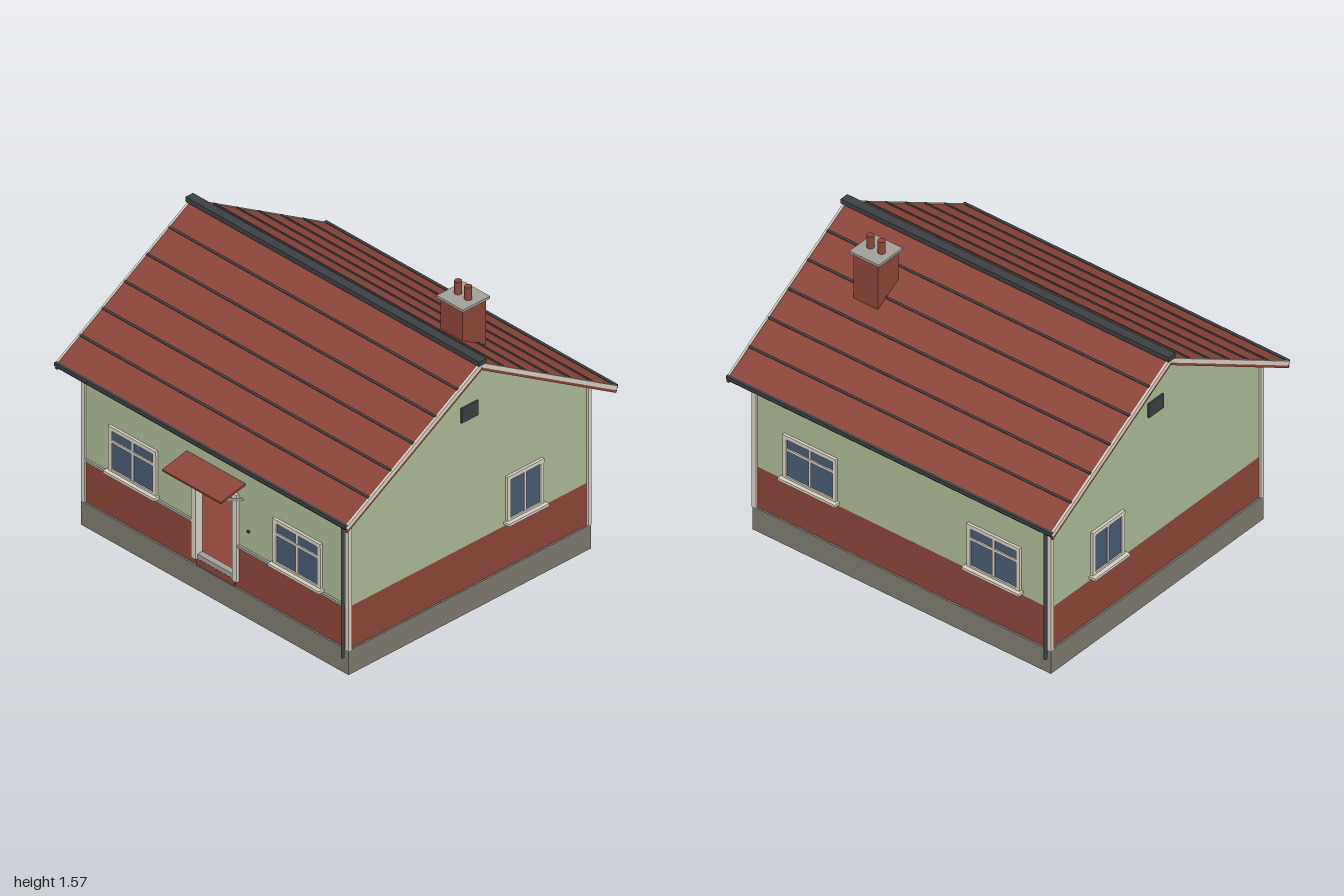
import * as THREE from 'three';

const mat = (name, color) => {
  const m = new THREE.MeshStandardMaterial({ color });
  m.name = name;
  return m;
};

export function createModel() {
  const house = new THREE.Group();
  house.name = 'house';
  const green = mat('green render', 0xabb994);
  const brick = mat('red brick', 0x8b4539);
  const stone = mat('plinth stone', 0x7d796f);
  const dark = mat('dark metal', 0x3c4043);
  const glass = mat('window glass', 0x485a72);
  const trim = mat('cream trim', 0xd6cfc2);
  const grey = mat('light stone', 0xa19f99);
  const pale = mat('interior plaster', 0xc2c6d2);

  const add = (name, geo, m, parent = house) => {
    const mesh = new THREE.Mesh(geo, m);
    mesh.name = name;
    parent.add(mesh);
    return mesh;
  };
  // box given by its min and max on every axis
  const box = (name, m, x0, x1, y0, y1, z0, z1, parent = house) => {
    const b = add(name, new THREE.BoxGeometry(x1 - x0, y1 - y0, z1 - z0), m, parent);
    b.position.set((x0 + x1) / 2, (y0 + y1) / 2, (z0 + z1) / 2);
    return b;
  };
  // square bar in the yz plane between two points
  const bar = (name, m, x, w, h, [z0, y0], [z1, y1], parent = house) => {
    const b = add(name, new THREE.BoxGeometry(w, h, Math.hypot(z1 - z0, y1 - y0)), m, parent);
    b.position.set(x, (y0 + y1) / 2, (z0 + z1) / 2);
    b.rotation.x = -Math.atan2(y1 - y0, z1 - z0);
    return b;
  };

  const F = 0.76, B = -0.81, W = 0.9, RIDGE = -0.025;
  const base = 0.135, band = 0.372, eave = 0.93;

  box('plinth', stone, -0.91, 0.91, 0, base, -0.82, 0.77);

  // Front wall, around the door opening
  for (const s of [-1, 1]) {
    const [a, b] = s < 0 ? [-W, -0.13] : [0.13, W];
    box('frontBrickwork', brick, a, b, base, band, F - 0.03, F);
    box('frontWall', green, a, b, band, eave, F - 0.03, F);
    const [c, d] = s < 0 ? [-0.885, -0.155] : [0.155, 0.885];
    box('frontLedge', grey, c, d, 0.366, 0.38, F, F + 0.012);
  }
  box('wallAboveDoor', green, -0.13, 0.13, 0.63, eave, F - 0.03, F);
  box('brickBelowDoor', brick, -0.13, 0.13, base, 0.172, F - 0.03, F + 0.005);

  // Back wall
  box('backBrickwork', brick, -W, W, base, band, B, B + 0.02);
  box('backWall', green, -W, W, band, eave, B, B + 0.02);

  // Gable walls
  const gable = new THREE.Shape();
  [[B, band], [F, band], [F, eave], [RIDGE, 1.4], [B, eave]].forEach(([z, y], i) =>
    i ? gable.lineTo(z, y) : gable.moveTo(z, y));
  const gableGeo = new THREE.ExtrudeGeometry(gable, { depth: 0.02, bevelEnabled: false });
  gableGeo.rotateY(-Math.PI / 2);
  for (const s of [-1, 1]) {
    add('gableWall', gableGeo, green).position.x = s > 0 ? W : -W + 0.02;
    box('gableBrickwork', brick, s > 0 ? W - 0.02 : -W, s > 0 ? W : -W + 0.02, base, band, B, F);
    box('gableVent', dark, s * 0.904 - 0.005, s * 0.904 + 0.005, 1.08, 1.162, -0.085, 0.025);
  }

  // Corner trims
  for (const x of [-0.899, 0.899])
    for (const z of [0.759, -0.812])
      box('cornerTrim', trim, x - 0.013, x + 0.013, base, 0.925, z - 0.011, z + 0.011);

  // Interior seen through the doorway
  box('interiorFloor', brick, -0.87, 0.87, 0.16, 0.19, B + 0.02, F - 0.03);
  box('interiorBackWall', pale, -0.88, 0.88, 0.19, 0.92, B + 0.02, B + 0.03);
  box('interiorCeiling', pale, -0.88, 0.88, 0.9, 0.92, B + 0.02, F - 0.03);
  for (const x of [-0.875, 0.875])
    box('interiorSideWall', pale, x - 0.005, x + 0.005, 0.19, 0.92, B + 0.02, F - 0.03);

  // Door frame and threshold
  for (const s of [-1, 1])
    box('doorJamb', trim, s * 0.14 - 0.015, s * 0.14 + 0.015, 0.17, 0.66, F - 0.03, F + 0.016);
  box('doorLintel', trim, -0.155, 0.155, 0.632, 0.66, F - 0.03, F + 0.016);
  box('threshold', grey, -0.125, 0.125, 0.172, 0.197, F - 0.03, F + 0.004);
  box('doorBell', dark, 0.215, 0.23, 0.48, 0.49, F, F + 0.01);

  // Door canopy with brackets
  bar('canopy', brick, 0, 0.4, 0.012, [F, 0.737], [0.922, 0.703]);
  for (const x of [-0.18, 0.18])
    bar('canopyBracket', trim, x, 0.012, 0.01, [F, 0.645], [0.895, 0.702]);

  // Windows, built facing +z and centred on x
  const makeWindow = (w, transom) => {
    const g = new THREE.Group();
    g.name = 'window';
    const h = w / 2, y0 = 0.397, y1 = 0.648, t = 0.022;
    box('glass', glass, -h + 0.01, h - 0.01, y0, y1 - 0.01, 0, 0.006, g);
    for (const s of [-1, 1])
      box('frameSide', trim, s * (h - t / 2) - t / 2, s * (h - t / 2) + t / 2, y0, y1, 0, 0.014, g);
    box('frameTop', trim, -h, h, y1 - t, y1, 0, 0.015, g);
    box('frameBottom', trim, -h, h, y0, y0 + 0.012, 0, 0.014, g);
    box('mullion', trim, -0.007, 0.007, y0, y1 - t, 0, 0.012, g);
    if (transom) box('transom', trim, -h + t, h - t, 0.558, 0.573, 0, 0.013, g);
    box('sill', trim, -h - 0.012, h + 0.012, 0.383, 0.398, 0, 0.036, g);
    house.add(g);
    return g;
  };
  for (const s of [-1, 1]) {
    makeWindow(0.325, true).position.set(s * 0.56, 0, F);
    const back = makeWindow(0.325, true);
    back.position.set(s * 0.56, 0, B);
    back.rotation.y = Math.PI;
    const side = makeWindow(0.24, false);
    side.position.set(s * W, 0, -0.39);
    side.rotation.y = s * Math.PI / 2;
  }

  // Roof slopes, with course lines, barge boards and gutters
  const slope = 0.593, run = 0.885;
  for (const s of [-1, 1]) {
    const at = (d, drop) => [RIDGE + s * d, 1.435 - slope * d - drop];
    bar('roofSlope', brick, 0, 1.965, 0.028, at(0, 0.017), at(run, 0.017));
    for (const x of [-0.987, 0.987]) {
      bar('bargeBoard', trim, x, 0.012, 0.022, at(0, 0.01), at(run, 0.01));
      bar('bargeUnderside', brick, x, 0.01, 0.014, at(0, 0.03), at(run, 0.03));
    }
    for (let i = 1; i <= 5; i++) {
      const d = i * 0.146;
      bar('courseLine', dark, 0, 1.966, 0.012, at(d - 0.005, 0), at(d + 0.005, 0));
    }
    const [gz] = at(run, 0);
    box('gutter', dark, -0.992, 0.992, 0.898, 0.918, gz - 0.008, gz + 0.008);
  }
  box('ridgeCap', dark, -1, 1, 1.43, 1.456, RIDGE - 0.025, RIDGE + 0.025);

  // Downpipes on two opposite corners
  for (const [x, z] of [[0.93, 0.827], [-0.93, -0.885]]) {
    const pipe = add('downpipe', new THREE.CylinderGeometry(0.009, 0.009, 0.775, 10), dark);
    pipe.position.set(x, 0.5225, z);
  }

  // Chimney
  box('chimneyStack', brick, 0.505, 0.655, 1.18, 1.486, -0.378, -0.225);
  box('chimneyCap', grey, 0.49, 0.67, 1.486, 1.5, -0.39, -0.212);
  for (const x of [0.545, 0.613]) {
    const pot = add('chimneyPot', new THREE.CylinderGeometry(0.019, 0.019, 0.07, 16), brick);
    pot.position.set(x, 1.535, -0.301);
  }
  return house;
}
